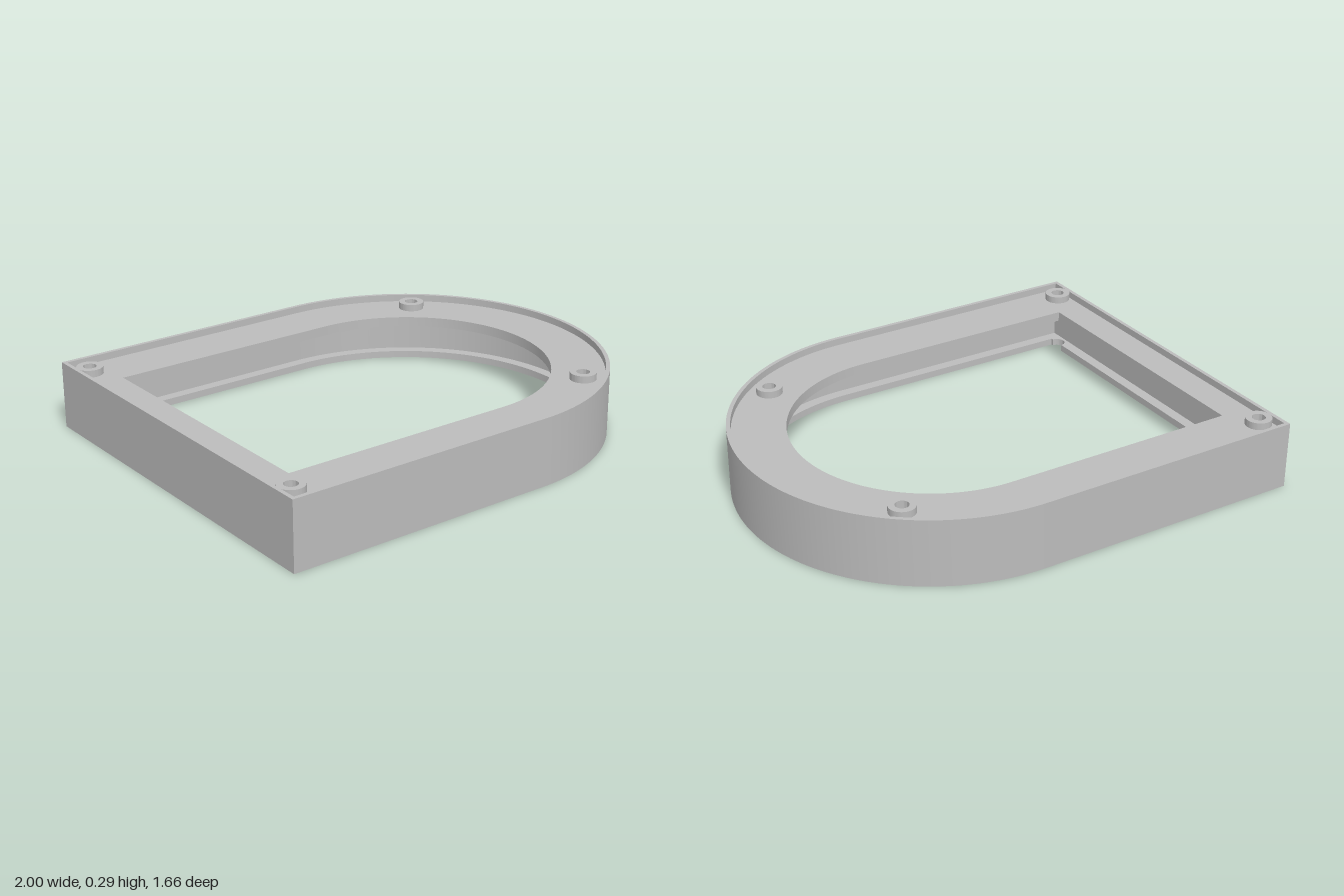
import * as THREE from 'three';
import { toCreasedNormals } from 'three/addons/utils/BufferGeometryUtils.js';

const LEFT = -1, ARC_X = 0.17, R = 0.83;
const HEIGHT = 0.287, WALL = 0.017;
const PLATE_BOTTOM = 0.215, PLATE_TOP = 0.257;
const screws = [[-0.93, 0.72], [-0.93, -0.72], [0.63, 0.56], [0.63, -0.56]];

// D outline: straight left end, round right end
function outline(path, left, radius, notchRadius = 0) {
  path.moveTo(left, -radius);
  path.lineTo(ARC_X, -radius);
  path.absarc(ARC_X, 0, radius, -Math.PI / 2, Math.PI / 2, false);
  path.lineTo(left, radius);
  if (notchRadius) {
    for (const z of [0.72, -0.72]) {
      path.lineTo(left, z + notchRadius);
      path.absarc(left, z, notchRadius, Math.PI / 2, Math.PI * 1.5, false);
    }
  }
  path.closePath();
  return path;
}

function circle(path, x, y, r) {
  path.absarc(x, y, r, 0, Math.PI * 2, false);
  return path;
}

// Extrude a plan shape upwards between two heights
function slab(name, shape, y0, y1, material, segments = 48) {
  let geo = new THREE.ExtrudeGeometry(shape, { depth: y1 - y0, bevelEnabled: false, curveSegments: segments });
  geo.rotateX(-Math.PI / 2);
  geo.translate(0, y0, 0);
  geo = toCreasedNormals(geo, 0.6);
  const mesh = new THREE.Mesh(geo, material);
  mesh.name = name;
  return mesh;
}

export function createModel() {
  const group = new THREE.Group();
  group.name = 'frame';
  const grey = new THREE.MeshStandardMaterial({ color: 0xbcbcbc });
  grey.name = 'grey';

  // Thin outer wall, rising past the plate as a lip
  const wall = outline(new THREE.Shape(), LEFT, R);
  wall.holes.push(outline(new THREE.Path(), LEFT + WALL, R - WALL));
  group.add(slab('outerWall', wall, 0, HEIGHT, grey));

  // Top plate with the large opening and screw holes
  const plate = outline(new THREE.Shape(), LEFT + WALL, R - WALL);
  plate.holes.push(outline(new THREE.Path(), -0.85, 0.59));
  for (const [x, z] of screws) plate.holes.push(circle(new THREE.Path(), x, z, 0.028));
  group.add(slab('topPlate', plate, PLATE_BOTTOM, PLATE_TOP, grey));

  // Bottom flange, notched beside the corner screws
  const flange = outline(new THREE.Shape(), LEFT + WALL, R - WALL);
  flange.holes.push(outline(new THREE.Path(), -0.935, R - 0.065, 0.035));
  group.add(slab('bottomFlange', flange, 0, 0.03, grey));

  // Screw bosses
  for (const [x, z] of screws) {
    const ring = circle(new THREE.Shape(), 0, 0, 0.055);
    ring.holes.push(circle(new THREE.Path(), 0, 0, 0.028));
    const boss = slab('screwBoss', ring, PLATE_TOP, HEIGHT, grey, 32);
    boss.position.set(x, 0, z);
    group.add(boss);
  }
  return group;
}
